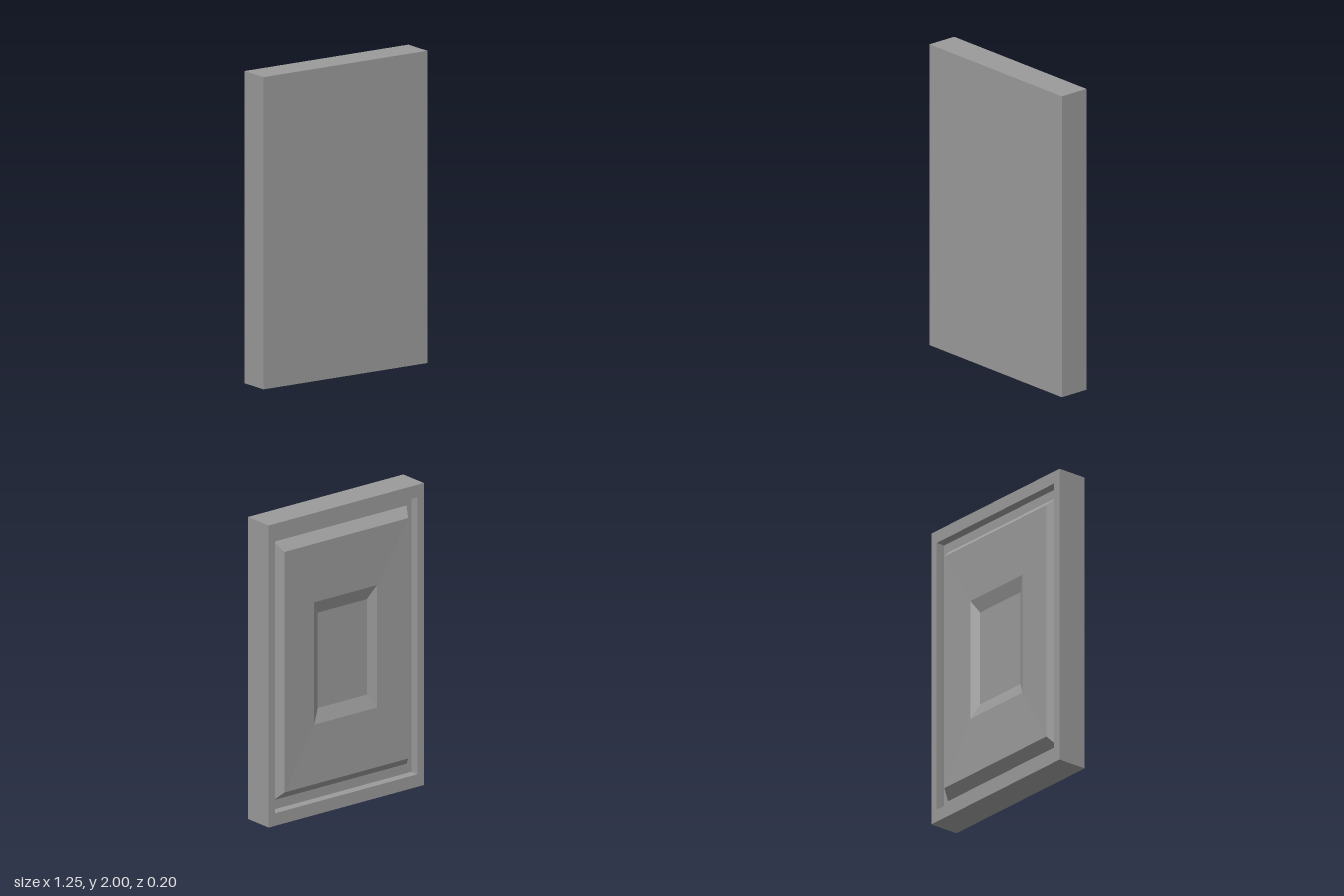
import * as THREE from 'three';

const HALF_W = 0.623, HALF_H = 1, HALF_D = 0.102;
const CORNERS = [[-1, -1], [1, -1], [1, 1], [-1, 1]];

// Joins concentric rectangles, each given as [scale, z], from the front round to the back
function steppedRectangles(name, profile, material) {
  const positions = [];
  const corner = ([scale, z], i) => {
    const [sx, sy] = CORNERS[i % 4];
    return [sx * HALF_W * scale, HALF_H + sy * HALF_H * scale, z];
  };
  for (let k = 0; k < profile.length - 1; k++) {
    const a = profile[k], b = profile[k + 1];
    for (let i = 0; i < 4; i++) {
      if (a[0] > 0) positions.push(...corner(a, i), ...corner(b, i), ...corner(a, i + 1));
      if (b[0] > 0) positions.push(...corner(a, i + 1), ...corner(b, i), ...corner(b, i + 1));
    }
  }
  const geometry = new THREE.BufferGeometry();
  geometry.setAttribute('position', new THREE.Float32BufferAttribute(positions, 3));
  geometry.computeVertexNormals();
  const mesh = new THREE.Mesh(geometry, material);
  mesh.name = name;
  return mesh;
}

export function createModel() {
  const group = new THREE.Group();
  group.name = 'panelledSlab';
  const material = new THREE.MeshStandardMaterial({ color: 0x9a9a9a, flatShading: true });
  const back = -HALF_D, grooveFloor = back + 0.06;

  // Plain front, sides and the flat rim around the back
  group.add(steppedRectangles('frame', [
    [0, HALF_D], [1, HALF_D], [1, back], [0.917, back],
  ], material));

  // Channel between the rim and the raised panel
  group.add(steppedRectangles('groove', [
    [0.917, back], [0.917, grooveFloor], [0.855, grooveFloor],
  ], material));

  // Bevelled panel, dished slightly towards the middle
  group.add(steppedRectangles('raisedPanel', [
    [0.855, grooveFloor], [0.796, back], [0.405, back + 0.008],
  ], material));

  // Sunken centre with sloping sides
  group.add(steppedRectangles('centreRecess', [
    [0.405, back + 0.008], [0.316, back + 0.04], [0, back + 0.04],
  ], material));

  return group;
}
